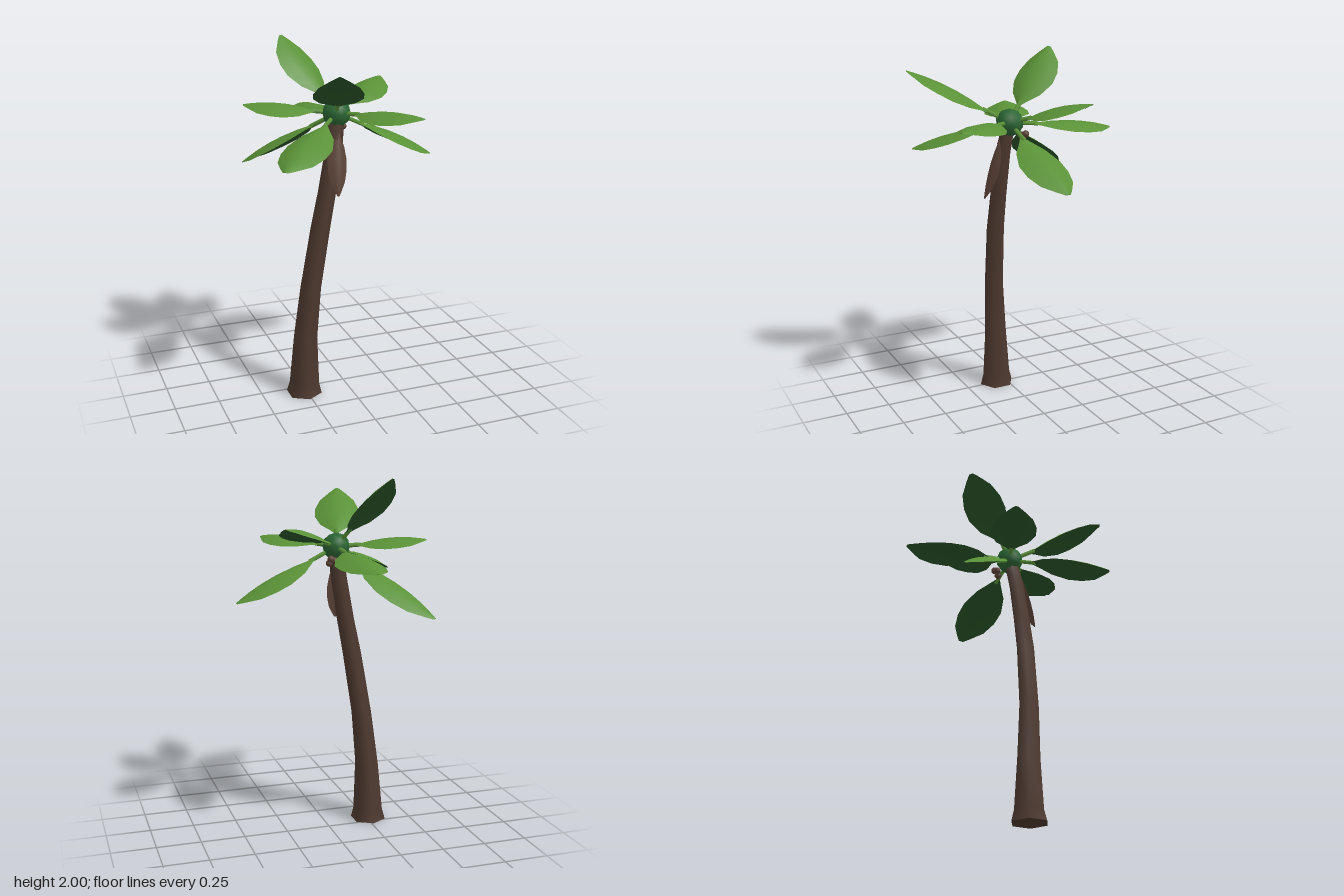
import * as THREE from 'three';

const V = (x, y, z) => new THREE.Vector3(x, y, z);
const mat = (color) => new THREE.MeshStandardMaterial({ color, side: THREE.DoubleSide });
const bark = mat(0x4d392f);
const husk = mat(0x5c4338);
const leafTop = mat(0x5a9137);
const leafUnder = mat(0x2a5528);
const heartGreen = mat(0x2a6432);

// Skins a list of cross-sections with smooth normals
function loft(rows, closed, flip = false) {
  const n = rows[0].length;
  const index = [];
  for (let i = 0; i < rows.length - 1; i++) {
    for (let j = 0; j < (closed ? n : n - 1); j++) {
      const k = (j + 1) % n;
      const a = i * n + j, b = i * n + k, c = a + n, d = b + n;
      index.push(...(flip ? [a, c, b, b, c, d] : [a, b, c, b, d, c]));
    }
  }
  const geo = new THREE.BufferGeometry().setFromPoints(rows.flat());
  geo.setIndex(index);
  geo.computeVertexNormals();
  return geo;
}

function add(parent, name, geometry, material) {
  const mesh = new THREE.Mesh(geometry, material);
  mesh.name = name;
  parent.add(mesh);
  return mesh;
}

// Position along the blade, relative half width
const OUTLINE = [[0, 0.08], [0.08, 0.3], [0.22, 0.72], [0.42, 1], [0.6, 0.99], [0.78, 0.78], [0.93, 0.34], [1, 0.1]];

// A blade arched along its length, with the sides folded down
function blade(name, base, tip, halfWidth, fold, arch, up, topMat, underMat) {
  const dir = tip.clone().sub(base);
  const side = dir.clone().cross(up).normalize();
  const normal = side.clone().cross(dir).normalize();
  const rows = (thickness) => OUTLINE.map(([t, w]) =>
    [-1, -0.5, 0, 0.5, 1].map((v) => {
      const drop = w * (fold * Math.abs(v) ** 1.5 + thickness * (1 - v * v));
      return base.clone()
        .addScaledVector(dir, t)
        .addScaledVector(side, v * w * halfWidth)
        .addScaledVector(normal, 4 * arch * t * (1 - t) - drop);
    }));
  const group = new THREE.Group();
  group.name = name;
  add(group, 'bladeTop', loft(rows(0), false), topMat);
  add(group, 'bladeUnderside', loft(rows(0.014), false, true), underMat);
  return group;
}

function stick(parent, name, from, to, radius, material) {
  const curve = new THREE.LineCurve3(from, to);
  return add(parent, name, new THREE.TubeGeometry(curve, 1, radius, 6), material);
}

export function createModel() {
  const tree = new THREE.Group();
  tree.name = 'palmTree';

  // Leaning six-sided trunk with a flared foot: x, y, z, radius
  const trunk = [
    [-0.262, 0, 0.06, 0.102], [-0.26, 0.06, 0.06, 0.086], [-0.252, 0.35, 0.067, 0.067],
    [-0.225, 0.65, 0.087, 0.058], [-0.17, 1.0, 0.1, 0.054], [-0.13, 1.2, 0.099, 0.05],
    [-0.085, 1.45, 0.09, 0.046], [-0.062, 1.6, 0.068, 0.042],
  ];
  const rings = trunk.map(([x, y, z, r]) => Array.from({ length: 6 }, (_, i) => {
    const a = Math.PI / 2 + i * Math.PI / 3;
    return V(x + r * Math.cos(a), y, z - r * Math.sin(a));
  }));
  add(tree, 'trunk', loft(rings, true), bark);
  const foot = add(tree, 'trunkFoot', new THREE.CircleGeometry(0.102, 6, Math.PI / 2), bark);
  foot.rotation.x = Math.PI / 2;
  foot.position.set(-0.262, 0, 0.06);

  // Crown heart
  const heart = V(-0.06, 1.62, 0.06);
  add(tree, 'crownHeart', new THREE.IcosahedronGeometry(0.077, 1), heartGreen).position.copy(heart);

  // Fronds: tip position of each
  const tips = [
    [-0.07, 1.55, -0.58], [0.52, 1.34, 0.01], [0.31, 1.75, -0.24],
    [0.26, 1.65, 0.48], [-0.235, 1.91, 0.58], [-0.48, 1.44, 0.47],
    [-0.52, 1.665, -0.13], [-0.46, 1.275, -0.41], [-0.255, 2.0, -0.28],
  ];
  for (const p of tips) {
    const tip = V(...p);
    const base = heart.clone().lerp(tip, 0.22);
    const frond = blade('frond', base, tip, 0.127, 0.048, 0.025, V(0, 1, 0), leafTop, leafUnder);
    stick(frond, 'frondStem', heart, heart.clone().lerp(tip, 0.27), 0.012, leafTop);
    tree.add(frond);
  }

  // Withered frond hanging against the front of the trunk
  tree.add(blade('witheredFrond', V(-0.072, 1.53, 0.115), V(-0.1, 1.2, 0.2),
    0.054, 0.03, 0.012, V(0, 0, 1), husk, husk));
  stick(tree, 'witheredStem', heart, V(-0.073, 1.5, 0.12), 0.012, husk);

  // Small nuts under the crown
  for (const [x, y, z] of [[-0.005, 1.535, 0.01], [-0.03, 1.55, -0.005], [-0.008, 1.56, -0.012]]) {
    add(tree, 'nut', new THREE.IcosahedronGeometry(0.02, 1), husk).position.set(x, y, z);
  }
  return tree;
}
